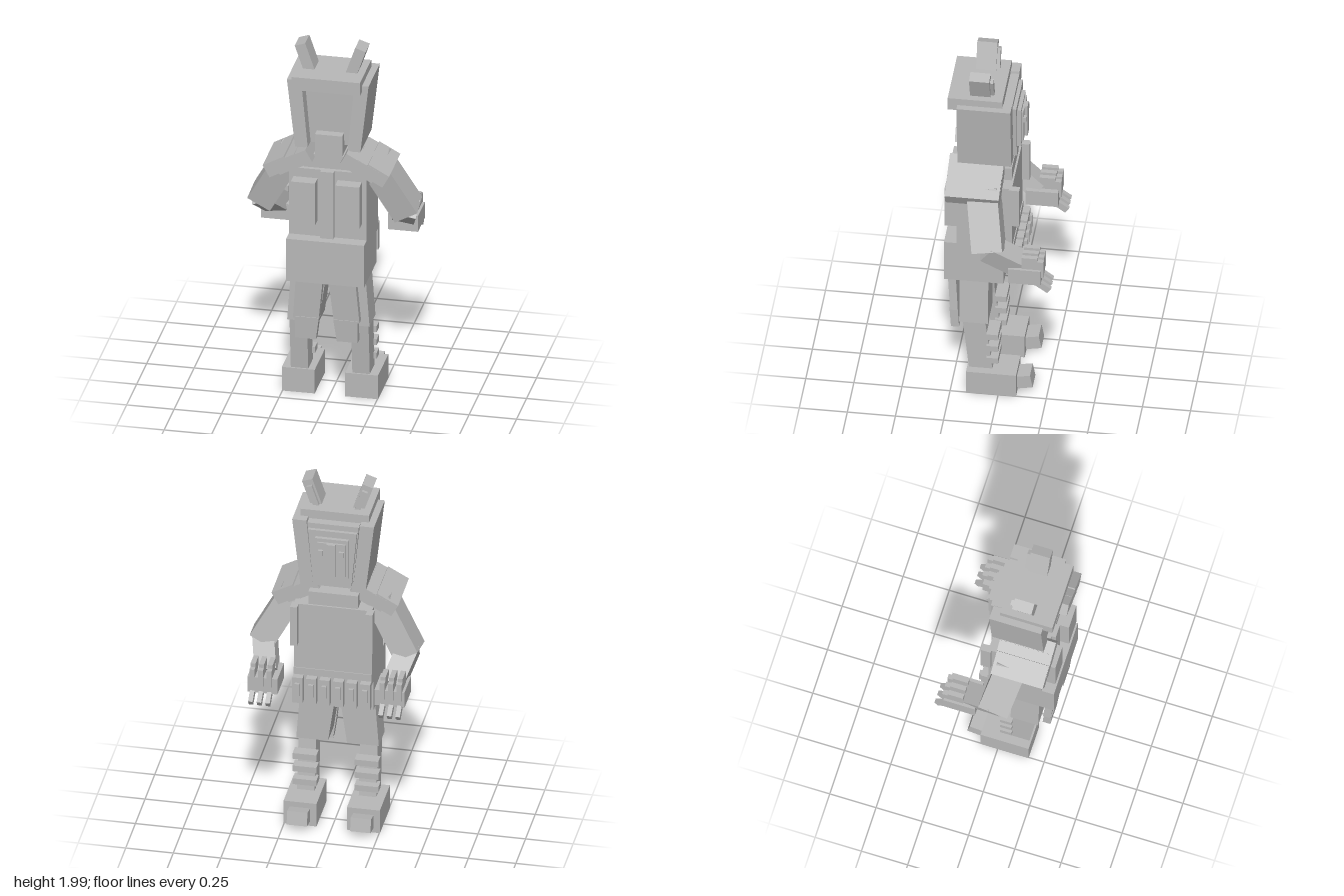
import * as THREE from 'three';

const grey = new THREE.MeshStandardMaterial({ color: 0xb8b8b8 });
grey.name = 'plain grey';

// Axis-aligned box from its bounds
function box(x0, x1, y0, y1, z0, z1) {
  return new THREE.BoxGeometry(x1 - x0, y1 - y0, z1 - z0)
    .translate((x0 + x1) / 2, (y0 + y1) / 2, (z0 + z1) / 2);
}

// Six-sided block between a bottom and a top rectangle [x0, x1, z0, z1]
function block(y0, y1, bottom, top) {
  const g = new THREE.BoxGeometry(1, 1, 1);
  const p = g.attributes.position;
  for (let i = 0; i < p.count; i++) {
    const up = p.getY(i) > 0;
    const r = up ? top : bottom;
    p.setXYZ(i, p.getX(i) < 0 ? r[0] : r[1], up ? y1 : y0, p.getZ(i) < 0 ? r[2] : r[3]);
  }
  g.computeVertexNormals();
  return g;
}

// Box turned about its centre
function turned(w, h, d, centre, rx, rz) {
  return new THREE.BoxGeometry(w, h, d).rotateX(rx).rotateZ(rz).translate(...centre);
}

// Box running along a line between two points
function limb(a, b, w, d) {
  const from = new THREE.Vector3(...a), to = new THREE.Vector3(...b);
  const dir = to.clone().sub(from);
  const q = new THREE.Quaternion().setFromUnitVectors(new THREE.Vector3(0, 1, 0), dir.clone().normalize().negate());
  const mid = from.add(to).multiplyScalar(0.5);
  return new THREE.BoxGeometry(w, dir.length(), d).applyQuaternion(q).translate(mid.x, mid.y, mid.z);
}

// Mirrored copy across x = 0 with the corner order restored
function mirrored(geometry) {
  const g = geometry.clone().scale(-1, 1, 1);
  const a = g.index.array;
  for (let i = 0; i < a.length; i += 3) [a[i], a[i + 1]] = [a[i + 1], a[i]];
  return g;
}

export function createModel() {
  const model = new THREE.Group();
  const add = (name, geometry) => {
    const mesh = new THREE.Mesh(geometry, grey);
    mesh.name = name;
    model.add(mesh);
  };
  const pair = (name, geometry) => {
    add('left' + name, geometry);
    add('right' + name, mirrored(geometry));
  };

  // Feet and legs
  pair('Shoe', box(0.08, 0.253, 0, 0.135, -0.093, 0.167));
  pair('Toe', turned(0.107, 0.075, 0.08, [0.167, 0.073, -0.129], 0.19, 0));
  pair('LowerLeg', block(0.13, 0.45, [0.116, 0.208, 0.035, 0.157], [0.116, 0.208, 0.075, 0.192]));
  for (const y of [0.198, 0.275, 0.35]) {
    pair('ShinBand', box(0.1, 0.225, y - 0.017, y + 0.017, 0.004, 0.065));
  }
  pair('UpperLeg', block(0.43, 0.7, [0.05, 0.217, 0.058, 0.207], [0.012, 0.197, 0.058, 0.207]));

  // Coat tails in two steps
  pair('UpperTail', block(0.47, 0.8, [0.04, 0.175, 0.22, 0.26], [0.005, 0.15, 0.24, 0.282]));
  pair('LowerTail', block(0.355, 0.48, [0.055, 0.165, 0.215, 0.257], [0.038, 0.165, 0.222, 0.265]));

  // Trunk
  add('skirt', box(-0.205, 0.205, 0.69, 0.93, -0.022, 0.288));
  add('belt', box(-0.205, 0.205, 0.865, 0.93, -0.07, 0));
  for (let i = 0; i < 6; i++) {
    const x = (i - 2.5) * 0.071;
    add('pouch', box(x - 0.027, x + 0.027, 0.74, 0.89, -0.107, -0.068));
    add('pouchFlap', box(x - 0.013, x + 0.013, 0.785, 0.86, -0.122, -0.1));
  }
  add('torso', box(-0.205, 0.205, 0.92, 1.31, -0.065, 0.222));
  add('collar', box(-0.13, 0.13, 1.3, 1.385, -0.055, 0.2));
  add('spine', box(-0.035, 0.035, 0.93, 1.31, 0.2, 0.245));
  pair('BackPanel', box(0.053, 0.18, 1.02, 1.26, 0.21, 0.288));
  pair('Strap', box(0.18, 0.217, 1.08, 1.31, -0.105, -0.05));
  add('neck', box(-0.072, 0.072, 1.37, 1.5, 0.03, 0.2));

  // Layered shoulder pads
  const pads = [[0.145, 1.375], [0.205, 1.345], [0.26, 1.325]];
  pads.forEach(([x, y], i) => {
    pair('ShoulderPad', turned(0.125, 0.075, 0.285 - i * 0.002, [x, y, 0.127], 0, -0.5));
  });

  // Arms
  pair('UpperArm', limb([0.225, 1.32, 0.08], [0.385, 1.035, 0.03], 0.135, 0.16));
  pair('Forearm', limb([0.38, 1.055, 0.045], [0.328, 0.92, -0.14], 0.115, 0.1));

  // Hands
  pair('Palm', box(0.255, 0.413, 0.86, 0.95, -0.243, -0.073));
  for (const x of [0.297, 0.342, 0.387]) {
    pair('FingerBase', box(x - 0.013, x + 0.013, 0.94, 1.02, -0.225, -0.142));
    pair('FingerMiddle', box(x - 0.013, x + 0.013, 0.9, 1.0, -0.254, -0.215));
    pair('FingerTip', turned(0.024, 0.035, 0.075, [x, 0.84, -0.255], -0.62, 0));
  }

  // Head
  add('head', block(1.43, 1.8, [-0.105, 0.105, -0.058, 0.15], [-0.135, 0.135, -0.058, 0.16]));
  pair('HeadSide', block(1.43, 1.81, [0.105, 0.172, -0.058, 0.222], [0.14, 0.215, -0.058, 0.222]));
  add('crown', box(-0.18, 0.18, 1.777, 1.85, -0.012, 0.272));

  // Face plates and features
  add('facePlate', block(1.45, 1.77, [-0.1, 0.1, -0.077, -0.05], [-0.128, 0.128, -0.077, -0.05]));
  add('mask', box(-0.088, 0.088, 1.505, 1.735, -0.097, -0.07));
  add('maskInset', box(-0.074, 0.074, 1.525, 1.715, -0.107, -0.09));
  add('nose', box(-0.023, 0.023, 1.525, 1.715, -0.122, -0.1));
  pair('Eye', box(0.042, 0.068, 1.645, 1.675, -0.12, -0.1));
  pair('Brow', turned(0.07, 0.022, 0.04, [0.085, 1.768, 0.165], 0, 0.25));

  // Ears
  pair('Ear', turned(0.058, 0.18, 0.105, [0.13, 1.9, 0.108], 0, -0.33));
  pair('InnerEar', turned(0.03, 0.12, 0.03, [0.127, 1.9, 0.053], 0, -0.33));

  return model;
}
